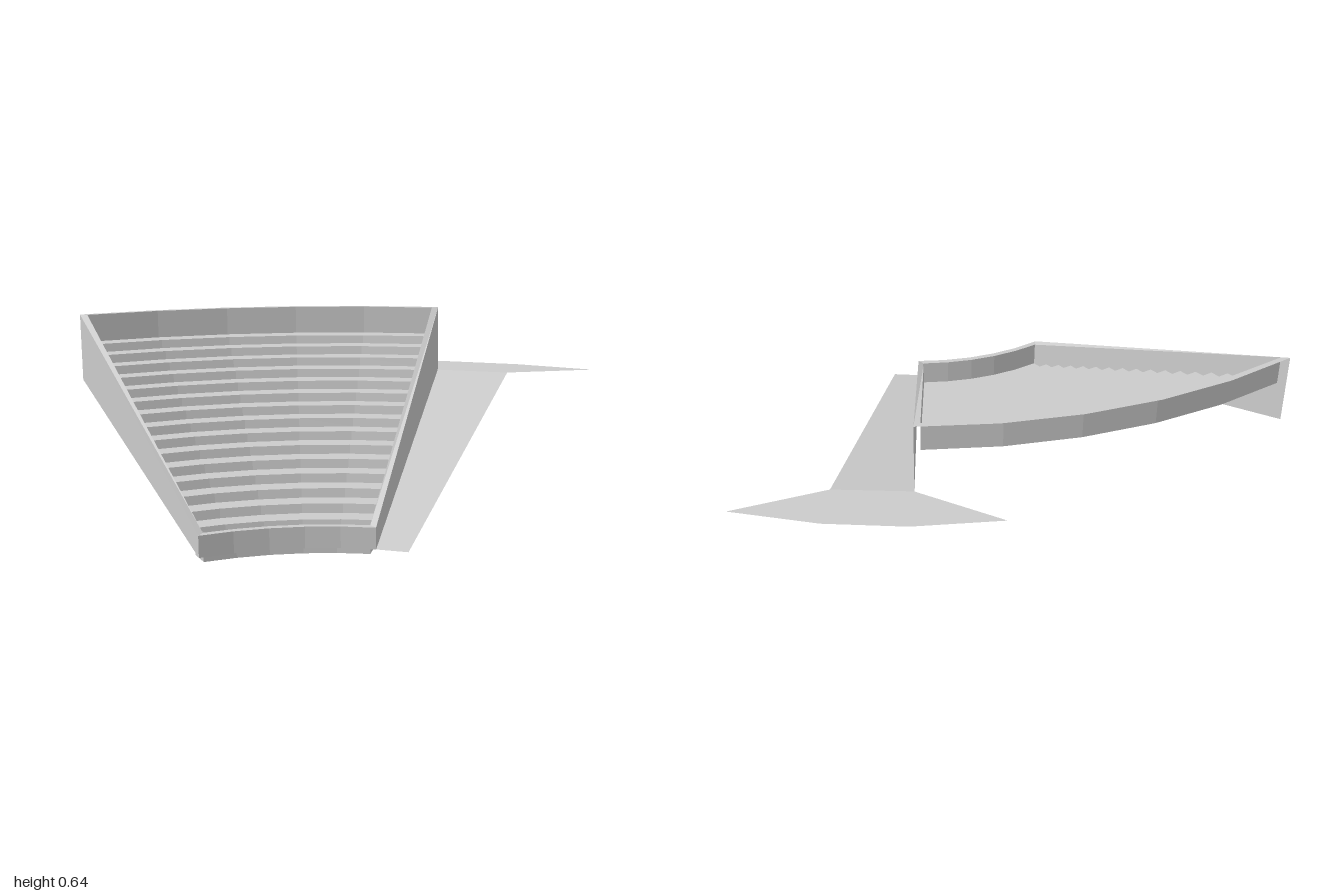
import * as THREE from 'three';

const CX = -1, CZ = 1.484;               // centre of all arcs
const SWEEP = 0.652, SEGMENTS = 5;       // angle of the wedge
const R0 = 0.904, R1 = 2.324, WALL = 0.024;
const I0 = R0 + WALL, I1 = R1 - WALL;
const TREADS = 17, PITCH = (I1 - I0) / TREADS, RISE = 0.525 / (TREADS - 1);
const SLANT = 0.005;                     // slight lean of each riser

const material = new THREE.MeshStandardMaterial({ color: 0xcccccc, side: THREE.DoubleSide, flatShading: true });

// Point at radius r, height y; t = 0 is the straight side, t = 1 the slanted one
function at(r, y, t, inset = 0) {
  const a0 = Math.asin(inset / r);
  const a = a0 + (SWEEP - 2 * a0) * t;
  return [CX + r * Math.sin(a), y, CZ - r * Math.cos(a)];
}

function arc(r, y, inset = 0) {
  return Array.from({ length: SEGMENTS + 1 }, (_, i) => at(r, y, i / SEGMENTS, inset));
}

// Sheet spanned between neighbouring rows of points
function sheet(name, rows) {
  const n = rows[0].length, index = [];
  for (let j = 0; j < rows.length - 1; j++) {
    for (let i = 0; i < n - 1; i++) {
      const a = j * n + i, b = a + n;
      index.push(a, a + 1, b, a + 1, b + 1, b);
    }
  }
  const g = new THREE.BufferGeometry();
  g.setAttribute('position', new THREE.Float32BufferAttribute(rows.flat(2), 3));
  g.setIndex(index);
  const flat = g.toNonIndexed();
  flat.computeVertexNormals();
  const mesh = new THREE.Mesh(flat, material);
  mesh.name = name;
  return mesh;
}

export function createModel() {
  const model = new THREE.Group();
  model.name = 'seatingSection';

  // Stair profile as (radius, height) pairs
  const profile = [];
  for (let i = 0; i < TREADS; i++) {
    profile.push([I0 + i * PITCH + (i ? SLANT : 0), i * RISE]);
    profile.push([I0 + (i + 1) * PITCH, i * RISE]);
  }
  model.add(sheet('terraces', profile.map(([r, y]) => arc(r, y, WALL))));

  // Front and back parapets; the back one is open behind
  const low = 0.1, high = 0.636, footLow = 0.025, footHigh = 0.365;
  model.add(sheet('frontParapet', [arc(R0, footLow), arc(R0, low), arc(I0, low, WALL), arc(I0, 0, WALL)]));
  model.add(sheet('backParapet', [arc(I1, 0.525, WALL), arc(I1, high, WALL), arc(R1, high)]));

  // Side walls: outer face, sloping rim, inner face down to the stairs
  const rimY = (r) => low + (high - low) * (r - I0) / (I1 - I0);
  ['rightSide', 'leftSide'].forEach((side, t) => {
    const group = new THREE.Group();
    group.name = side + 'Wall';
    const foot = [at(R0, footLow, t), at(R1, footHigh, t)];
    const outer = [at(R0, low, t), at(R1, high, t)];
    const inner = [at(I0, low, t, WALL), at(I1, high, t, WALL)];
    group.add(sheet(side + 'OuterFaceAndRim', [foot, outer, inner]));
    group.add(sheet(side + 'InnerFace', [
      profile.map(([r, y]) => at(r, y, t, WALL)),
      profile.map(([r]) => at(r, rimY(r), t, WALL)),
    ]));
    model.add(group);
  });

  // Sloping skirt along the foot of the left wall
  model.add(sheet('skirt', [
    [at(R0, footLow, 1), at(R1, footHigh, 1)],
    [[-0.37, footLow, 0.84], [0.64, footHigh, -0.17]],
  ]));

  // Flat landing at the head of the skirt
  const y = footHigh;
  const head = at(R1, y, 1);
  const landing = new THREE.Shape([
    [head[0], head[2]], [0.64, -0.17], [1, -0.06], [0.78, -0.32], [0.55, -0.52], [0.26, -0.7],
  ].map(([x, z]) => new THREE.Vector2(x, -z)));
  const landingMesh = new THREE.Mesh(new THREE.ShapeGeometry(landing).rotateX(-Math.PI / 2), material);
  landingMesh.position.y = y;
  landingMesh.name = 'landing';
  model.add(landingMesh);

  return model;
}
